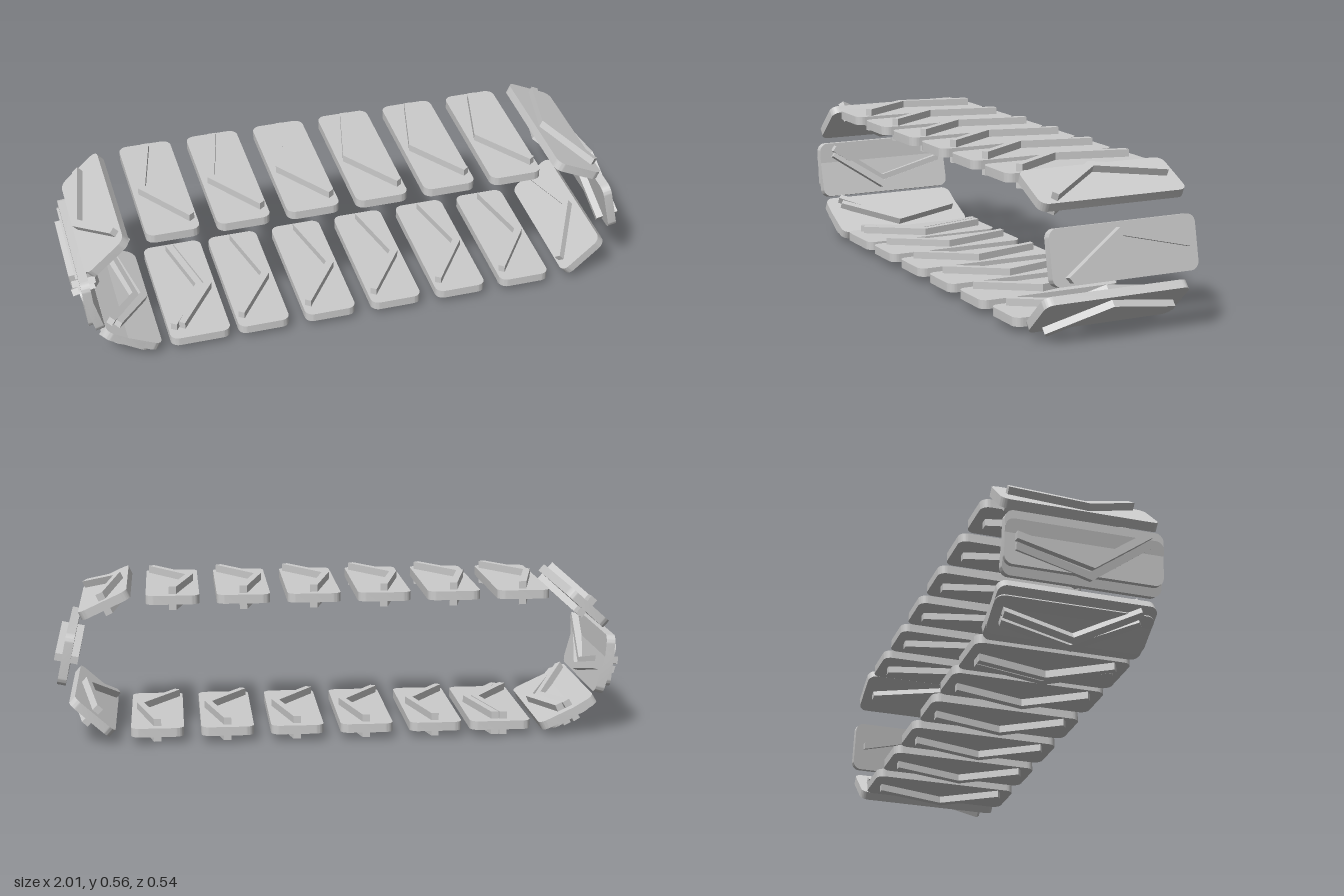
import * as THREE from 'three';
import { toCreasedNormals } from 'three/addons/utils/BufferGeometryUtils.js';

const material = new THREE.MeshStandardMaterial({ color: 0xcccccc });

// Extrudes an outline (x, -z) vertically, centred on y = 0
function slab(shape, height) {
  const geo = new THREE.ExtrudeGeometry(shape, { depth: height, bevelEnabled: false, curveSegments: 6 });
  geo.translate(0, 0, -height / 2);
  geo.rotateX(-Math.PI / 2);
  return toCreasedNormals(geo, 0.6);
}

function roundedRect(w, d, r) {
  const x = w / 2, y = d / 2, s = new THREE.Shape();
  s.moveTo(-x + r, -y);
  s.lineTo(x - r, -y);
  s.absarc(x - r, -y + r, r, -Math.PI / 2, 0);
  s.absarc(x - r, y - r, r, 0, Math.PI / 2);
  s.absarc(-x + r, y - r, r, Math.PI / 2, Math.PI);
  s.absarc(-x + r, -y + r, r, Math.PI, Math.PI * 1.5);
  return s;
}

export function createModel() {
  const track = new THREE.Group();
  track.name = 'track';

  const plateGeo = slab(roundedRect(0.185, 0.54, 0.03), 0.031);

  // Lopsided chevron rib passing through the plate
  const chevron = new THREE.Shape([
    [-0.075, -0.025], [0.064, -0.224], [0.083, -0.21],
    [-0.048, -0.016], [0.013, 0.235], [-0.013, 0.235],
  ].map(([x, y]) => new THREE.Vector2(x, y)));
  const ribGeo = slab(chevron, 0.082);

  // Link placements: x, y, direction of travel in degrees
  const links = [];
  for (let i = 0; i < 6; i++) {
    links.push([-0.65 + i * 0.245, 0.511, 0]); // upper run
    links.push([0.635 - i * 0.245, 0.042, 180]); // lower run
  }
  // Right bend
  links.push([0.81, 0.495, -25], [0.945, 0.305, -78], [0.86, 0.1, -138]);
  // Left bend, where the two ends of the track overlap
  links.push([-0.56, 0.042, 180], [-0.805, 0.07, 155], [-0.835, 0.083, 149]);
  links.push([-0.947, 0.238, 105], [-0.957, 0.265, 95], [-0.88, 0.457, 42]);

  for (const [x, y, angle] of links) {
    const link = new THREE.Group();
    link.name = 'trackLink';
    const plate = new THREE.Mesh(plateGeo, material);
    plate.name = 'plate';
    const rib = new THREE.Mesh(ribGeo, material);
    rib.name = 'chevronRib';
    link.add(plate, rib);
    link.position.set(x, y, 0);
    link.rotation.z = THREE.MathUtils.degToRad(angle);
    track.add(link);
  }
  return track;
}
